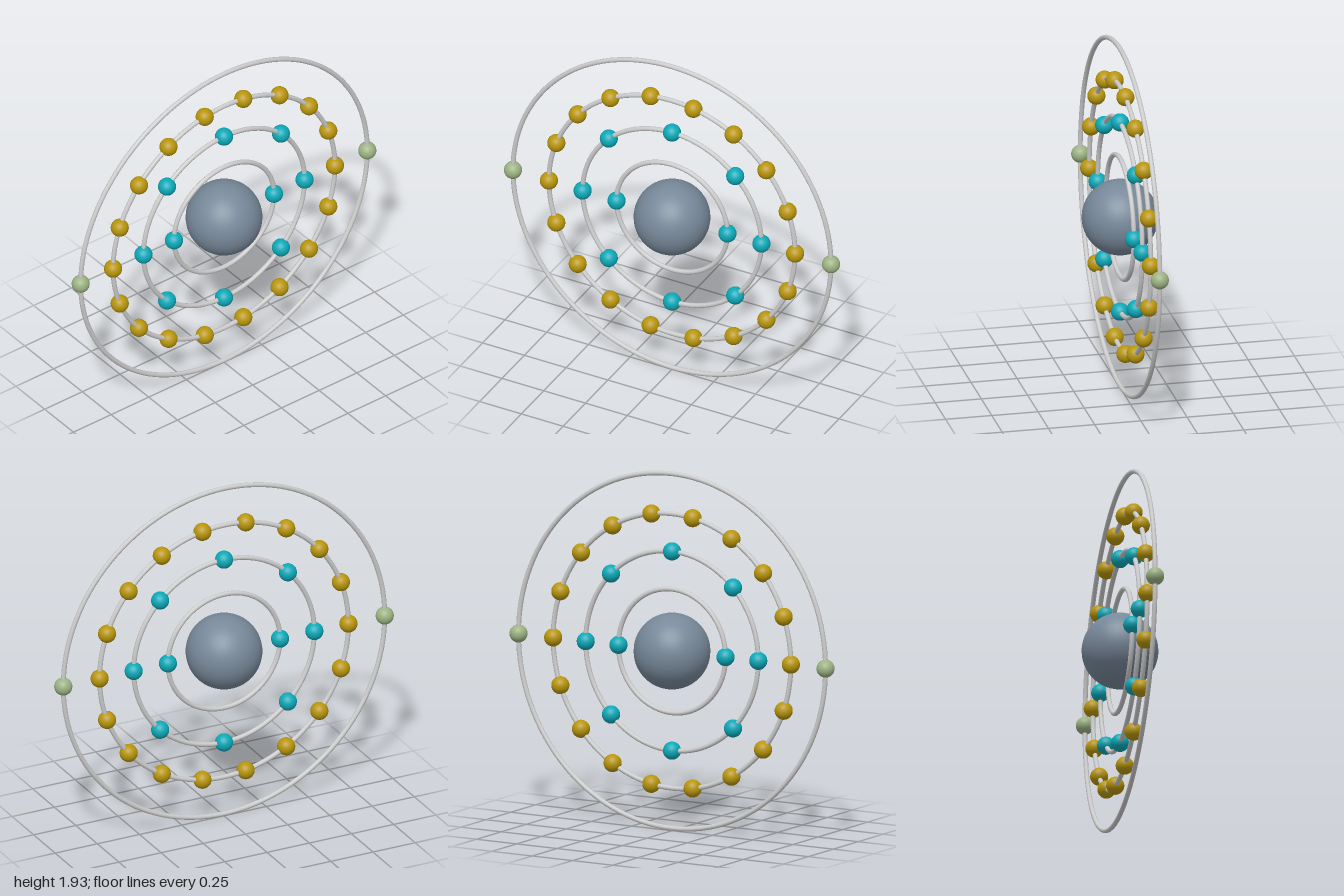
import * as THREE from 'three';

const CENTER_Y = 0.965;
const TUBE = 0.013;
const BALL = 0.048;

// Each orbit: ring radius, number of evenly spaced balls, ball colour
const ORBITS = [
  { name: 'firstShell', radius: 0.332, count: 2, color: 0x0ca9b8 },
  { name: 'secondShell', radius: 0.535, count: 8, color: 0x0ca9b8 },
  { name: 'thirdShell', radius: 0.737, count: 18, color: 0xb8960b },
  { name: 'outerShell', radius: 0.952, count: 2, color: 0x9db384 },
];

function addMesh(parent, name, geometry, material) {
  const mesh = new THREE.Mesh(geometry, material);
  mesh.name = name;
  parent.add(mesh);
  return mesh;
}

export function createModel() {
  const model = new THREE.Group();
  model.name = 'atomModel';

  const atom = new THREE.Group();
  atom.name = 'atom';
  atom.position.y = CENTER_Y;
  model.add(atom);

  // Central nucleus
  addMesh(atom, 'nucleus', new THREE.SphereGeometry(0.203, 40, 28),
    new THREE.MeshStandardMaterial({ color: 0x778899 }));

  // Concentric rings carrying their electrons
  const ringMaterial = new THREE.MeshStandardMaterial({ color: 0xcccccc });
  const ballGeometry = new THREE.SphereGeometry(BALL, 28, 20);
  for (const { name, radius, count, color } of ORBITS) {
    const shell = new THREE.Group();
    shell.name = name;
    atom.add(shell);
    addMesh(shell, 'ring', new THREE.TorusGeometry(radius, TUBE, 12, 128), ringMaterial);

    const ballMaterial = new THREE.MeshStandardMaterial({ color });
    for (let i = 0; i < count; i++) {
      const a = (i / count) * Math.PI * 2;
      addMesh(shell, 'electron', ballGeometry, ballMaterial)
        .position.set(radius * Math.cos(a), radius * Math.sin(a), 0);
    }
  }
  return model;
}
